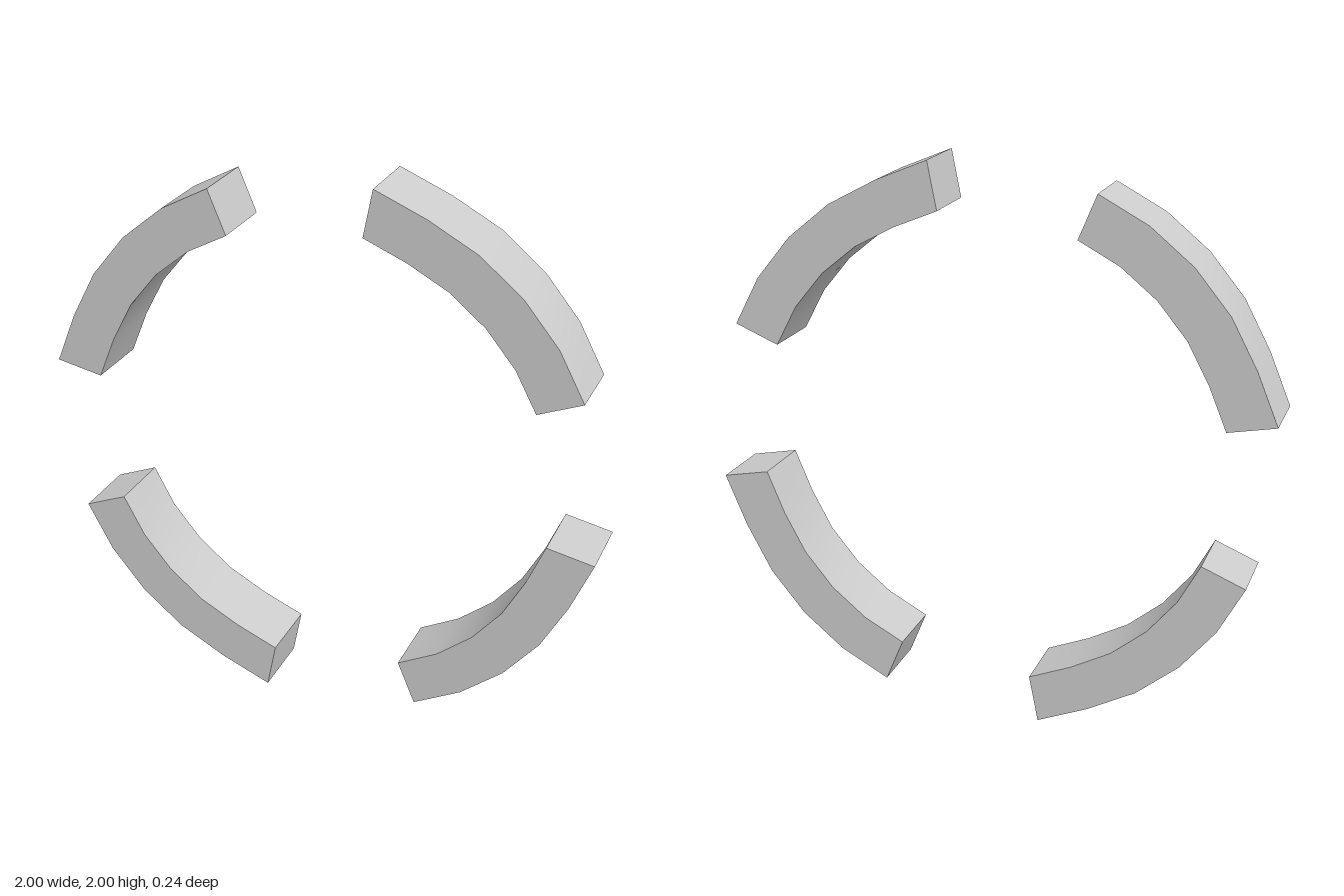
import * as THREE from 'three';
import { toCreasedNormals } from 'three/addons/utils/BufferGeometryUtils.js';

const OUTER = 1, INNER = 0.832, DEPTH = 0.244;
const STEP = Math.PI / 16; // 32 facets per full ring

// Edge of one segment: an arc from 22.5 to 67.5 degrees, then a straight tangent end
function edge(radius) {
  const points = [];
  for (let i = 2; i <= 7; i++) {
    const r = i === 7 ? radius / Math.cos(STEP) : radius;
    points.push(new THREE.Vector2(r * Math.cos(i * STEP), r * Math.sin(i * STEP)));
  }
  return points;
}

export function createModel() {
  const group = new THREE.Group();
  group.name = 'splitRing';

  const shape = new THREE.Shape([...edge(OUTER), ...edge(INNER).reverse()]);
  const extruded = new THREE.ExtrudeGeometry(shape, { depth: DEPTH, bevelEnabled: false });
  extruded.translate(0, 0, -DEPTH / 2);
  const geometry = toCreasedNormals(extruded, 0.5);
  const material = new THREE.MeshStandardMaterial({ color: 0xcccccc });

  // Four identical segments, a quarter turn apart
  ['upperLeft', 'upperRight', 'lowerRight', 'lowerLeft'].forEach((place, i) => {
    const segment = new THREE.Mesh(geometry, material);
    segment.name = place + 'RingSegment';
    segment.position.y = 1;
    segment.rotation.z = i * Math.PI / 2;
    group.add(segment);
  });
  return group;
}
